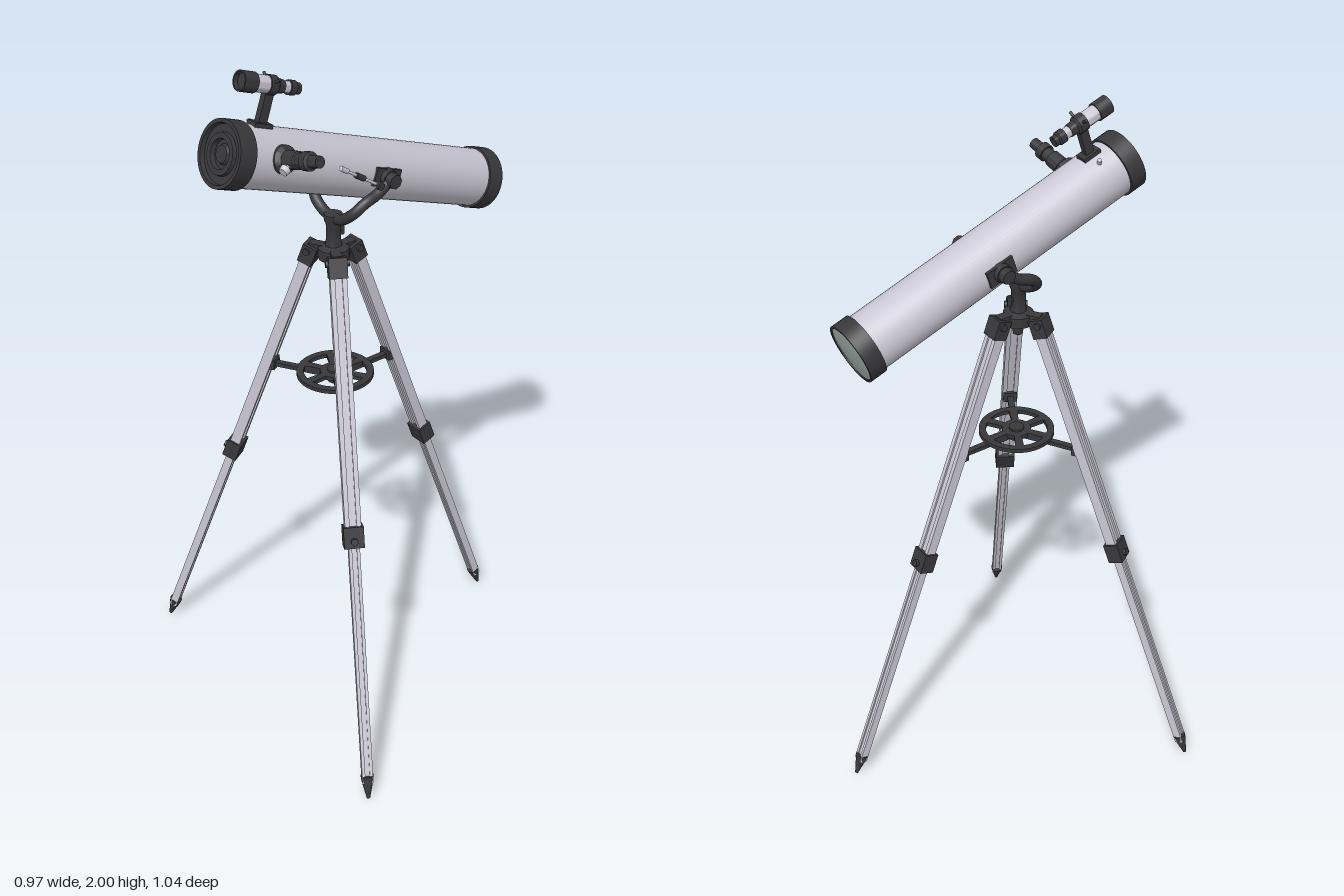
import * as THREE from 'three';
import { toCreasedNormals } from 'three/addons/utils/BufferGeometryUtils.js';

const material = (color) => new THREE.MeshStandardMaterial({ color, side: THREE.DoubleSide });
const pale = material(0xcac8d4), dark = material(0x38383b), glass = material(0x9daaa6);
const V = (x, y, z) => new THREE.Vector3(x, y, z);

function add(parent, name, geometry, mat, x = 0, y = 0, z = 0) {
  const mesh = new THREE.Mesh(geometry, mat);
  mesh.name = name;
  mesh.position.set(x, y, z);
  parent.add(mesh);
  return mesh;
}
const box = (w, h, d) => new THREE.BoxGeometry(w, h, d);

// Turned part: profile of [radius, height] pairs around y
function turned(profile, sides = 32) {
  const points = profile.map(([r, h]) => new THREE.Vector2(r, h));
  return toCreasedNormals(new THREE.LatheGeometry(points, sides), 0.6);
}
// Turned part lying along +x
const turnedX = (profile, sides) => turned(profile, sides).rotateZ(-Math.PI / 2);

// Straight rod between two points
function rod(parent, name, a, b, r, mat, r2 = r, sides = 16) {
  const dir = b.clone().sub(a);
  const mesh = add(parent, name, new THREE.CylinderGeometry(r2, r, dir.length(), sides), mat);
  mesh.position.copy(a).addScaledVector(dir, 0.5);
  mesh.quaternion.setFromUnitVectors(V(0, 1, 0), dir.normalize());
  return mesh;
}

function makeLeg() {
  const leg = new THREE.Group();
  leg.name = 'leg';
  leg.position.set(0.065, 1.43, 0);
  leg.rotation.z = Math.atan2(0.53, 1.43);
  // Upper channel section: two rails and a web
  for (const s of [-1, 1]) add(leg, 'upperRail', box(0.03, 0.75, 0.013), pale, 0, -0.375, s * 0.016);
  add(leg, 'upperWeb', box(0.02, 0.75, 0.02), pale, 0, -0.375, 0);
  add(leg, 'topClamp', box(0.042, 0.055, 0.05), dark, 0, -0.008, 0);
  // Clamp collar between sections
  add(leg, 'collar', box(0.044, 0.06, 0.056), dark, 0, -0.745, 0);
  rod(leg, 'collarScrew', V(0.02, -0.755, 0), V(0.032, -0.755, 0), 0.01, dark);
  // Lower section and pointed foot
  for (const s of [-1, 1]) add(leg, 'lowerRail', box(0.024, 0.72, 0.009), pale, 0, -1.11, s * 0.011);
  add(leg, 'lowerWeb', box(0.016, 0.72, 0.016), pale, 0, -1.11, 0);
  add(leg, 'foot', turned([[0, -1.522], [0.005, -1.52], [0.017, -1.465], [0.019, -1.45], [0, -1.45]], 16), dark);
  return leg;
}

function makeTray() {
  const tray = new THREE.Group();
  tray.name = 'tray';
  // Wheel-shaped plate with six openings between the spokes
  const shape = new THREE.Shape().absarc(0, 0, 0.108, 0, Math.PI * 2);
  for (let i = 0; i < 6; i++) {
    const a = i * Math.PI / 3 + 0.14, b = (i + 1) * Math.PI / 3 - 0.14;
    const hole = new THREE.Path();
    hole.absarc(0, 0, 0.088, a, b, false);
    hole.absarc(0, 0, 0.042, b - 0.1, a + 0.1, true);
    hole.closePath();
    shape.holes.push(hole);
  }
  const plate = new THREE.ExtrudeGeometry(shape, { depth: 0.012, bevelEnabled: false, curveSegments: 24 });
  add(tray, 'trayPlate', plate.rotateX(-Math.PI / 2), dark, 0, 1.055, 0);
  rod(tray, 'trayHub', V(0, 1.035, 0), V(0, 1.073, 0), 0.022, dark);
  return tray;
}

function makeTripod() {
  const tripod = new THREE.Group();
  tripod.name = 'tripod';
  tripod.position.x = -0.115;
  for (let i = 0; i < 3; i++) {
    const side = new THREE.Group();
    side.name = 'legAssembly';
    side.rotation.y = i * Math.PI * 2 / 3;
    side.add(makeLeg());
    add(side, 'trayArm', box(0.19, 0.012, 0.018), dark, 0.1, 1.05, 0);
    add(side, 'trayArmHinge', box(0.022, 0.03, 0.04), dark, 0.189, 1.052, 0);
    add(side, 'hubBracket', box(0.055, 0.035, 0.028), dark, 0.04, 1.437, 0);
    rod(side, 'legBolt', V(0.068, 1.435, -0.032), V(0.068, 1.435, 0.032), 0.01, dark);
    tripod.add(side);
  }
  tripod.add(makeTray());
  add(tripod, 'hub', turned([[0, 1.385], [0.014, 1.385], [0.016, 1.415], [0.042, 1.42], [0.042, 1.45], [0.022, 1.458], [0, 1.458]]), dark);
  return tripod;
}

function makeMount() {
  const mount = new THREE.Group();
  mount.name = 'forkMount';
  add(mount, 'column', turned([[0, 1.45], [0.024, 1.45], [0.02, 1.475], [0.02, 1.52], [0.025, 1.53], [0.025, 1.548], [0, 1.555]]), dark, -0.115);
  rod(mount, 'columnScrew', V(-0.1, 1.494, 0), V(-0.083, 1.494, 0), 0.005, dark);
  rod(mount, 'columnScrewKnob', V(-0.086, 1.48, 0), V(-0.086, 1.508, 0), 0.006, dark);
  for (const s of [-1, 1]) {
    // Curved fork arm, flattened in cross-section
    const path = new THREE.CatmullRomCurve3([
      V(-0.115, 1.535, 0), V(-0.117, 1.545, s * 0.04), V(-0.113, 1.575, s * 0.082),
      V(-0.085, 1.603, s * 0.097), V(-0.045, 1.617, s * 0.097), V(0, 1.645, s * 0.095)]);
    add(mount, 'forkArm', new THREE.TubeGeometry(path, 36, 0.015, 12), dark);
    // Pivot, saddle and clamp knob
    rod(mount, 'pivot', V(0, 1.645, s * 0.076), V(0, 1.645, s * 0.098), 0.027, dark, 0.024, 24);
    rod(mount, 'pivotKnob', V(0, 1.645, s * 0.096), V(0, 1.645, s * 0.118), 0.022, dark, 0.02, 8);
    const saddle = add(mount, 'saddle', box(0.085, 0.05, 0.012), dark, 0, 1.645, s * 0.079);
    saddle.rotation.z = -0.342;
  }
  // Fine adjustment rod with its knobs
  rod(mount, 'adjustmentRod', V(-0.16, 1.72, 0.096), V(-0.02, 1.628, 0.096), 0.004, pale);
  rod(mount, 'adjustmentSleeve', V(-0.115, 1.69, 0.096), V(-0.088, 1.673, 0.096), 0.008, dark);
  rod(mount, 'rodEnd', V(-0.163, 1.722, 0.096), V(-0.142, 1.708, 0.096), 0.007, pale);
  rod(mount, 'adjustmentScrew', V(-0.045, 1.645, 0.09), V(-0.045, 1.645, 0.11), 0.005, pale);
  rod(mount, 'adjustmentKnob', V(-0.045, 1.645, 0.106), V(-0.045, 1.645, 0.114), 0.011, dark);
  return mount;
}

function makeFinder() {
  const finder = new THREE.Group();
  finder.name = 'finder';
  finder.position.set(-0.364, 0.182, 0);
  const d = (name, profile, mat) => add(finder, name, turnedX(profile, 24), mat);
  d('finderHood', [[0, -0.078], [0.021, -0.078], [0.022, -0.09], [0.026, -0.09], [0.026, -0.048], [0, -0.048]], dark);
  d('finderFrontBarrel', [[0.022, -0.05], [0.022, -0.006]], pale);
  d('finderClamp', [[0, -0.008], [0.025, -0.008], [0.025, 0.016], [0.019, 0.022], [0.017, 0.042], [0, 0.042]], dark);
  d('finderRearBarrel', [[0.015, 0.04], [0.015, 0.062]], pale);
  d('finderEyepiece', [[0, 0.06], [0.019, 0.06], [0.019, 0.078], [0.015, 0.082], [0.015, 0.094], [0.01, 0.094], [0, 0.088]], dark);
  // Stand on the tube
  add(finder, 'finderStem', box(0.026, 0.09, 0.018), dark, 0.004, -0.06, 0);
  add(finder, 'finderBase', box(0.055, 0.014, 0.036), dark, 0.004, -0.1, 0);
  for (const s of [-1, 1]) rod(finder, 'finderScrew', V(0.004, 0.012, s * 0.02), V(0.004, 0.022, s * 0.034), 0.004, dark);
  return finder;
}

function makeFocuser() {
  // Built along +y, then turned outwards towards the front
  const focuser = new THREE.Group();
  focuser.name = 'focuser';
  focuser.position.x = -0.322;
  focuser.rotation.x = Math.PI / 2 - 0.27;
  add(focuser, 'focuserBase', turned([[0, 0.07], [0.036, 0.07], [0.036, 0.084], [0.024, 0.094], [0.023, 0.135], [0.019, 0.137], [0.019, 0.16], [0, 0.16]]), dark);
  add(focuser, 'eyepiece', turned([[0, 0.158], [0.024, 0.158], [0.024, 0.178], [0.016, 0.182], [0.015, 0.212], [0.01, 0.212], [0, 0.207]]), dark);
  rod(focuser, 'focusShaft', V(0, 0.115, 0), V(-0.026, 0.115, 0.026), 0.005, pale);
  rod(focuser, 'focusKnob', V(-0.022, 0.115, 0.022), V(-0.032, 0.115, 0.032), 0.014, pale, 0.012, 20);
  return focuser;
}

function makeTube() {
  const tube = new THREE.Group();
  tube.name = 'opticalTube';
  tube.position.set(-0.025, 1.655, 0);
  tube.rotation.z = -0.342;
  add(tube, 'tubeBody', turnedX([[0.08, -0.43], [0.08, 0.43]], 48), pale);
  // Stepped cover on the upper end
  add(tube, 'frontCap', turnedX([[0, -0.455], [0.022, -0.455], [0.026, -0.447], [0.036, -0.447], [0.038, -0.46], [0.052, -0.46],
    [0.054, -0.45], [0.074, -0.45], [0.076, -0.462], [0.086, -0.462], [0.086, -0.412], [0.079, -0.412]], 48), dark);
  // Lower end ring and pale end disc
  add(tube, 'rearRing', turnedX([[0.079, 0.412], [0.086, 0.412], [0.086, 0.461], [0.079, 0.461], [0.079, 0.44]], 48), dark);
  add(tube, 'rearDisc', turnedX([[0.08, 0.458], [0.055, 0.462], [0.028, 0.464], [0, 0.465]], 48), glass);
  rod(tube, 'tubeScrew', V(-0.36, 0.066, -0.038), V(-0.36, 0.082, -0.046), 0.006, pale);
  tube.add(makeFinder(), makeFocuser());
  return tube;
}

export function createModel() {
  const model = new THREE.Group();
  model.name = 'telescope';
  model.add(makeTripod(), makeMount(), makeTube());
  return model;
}
